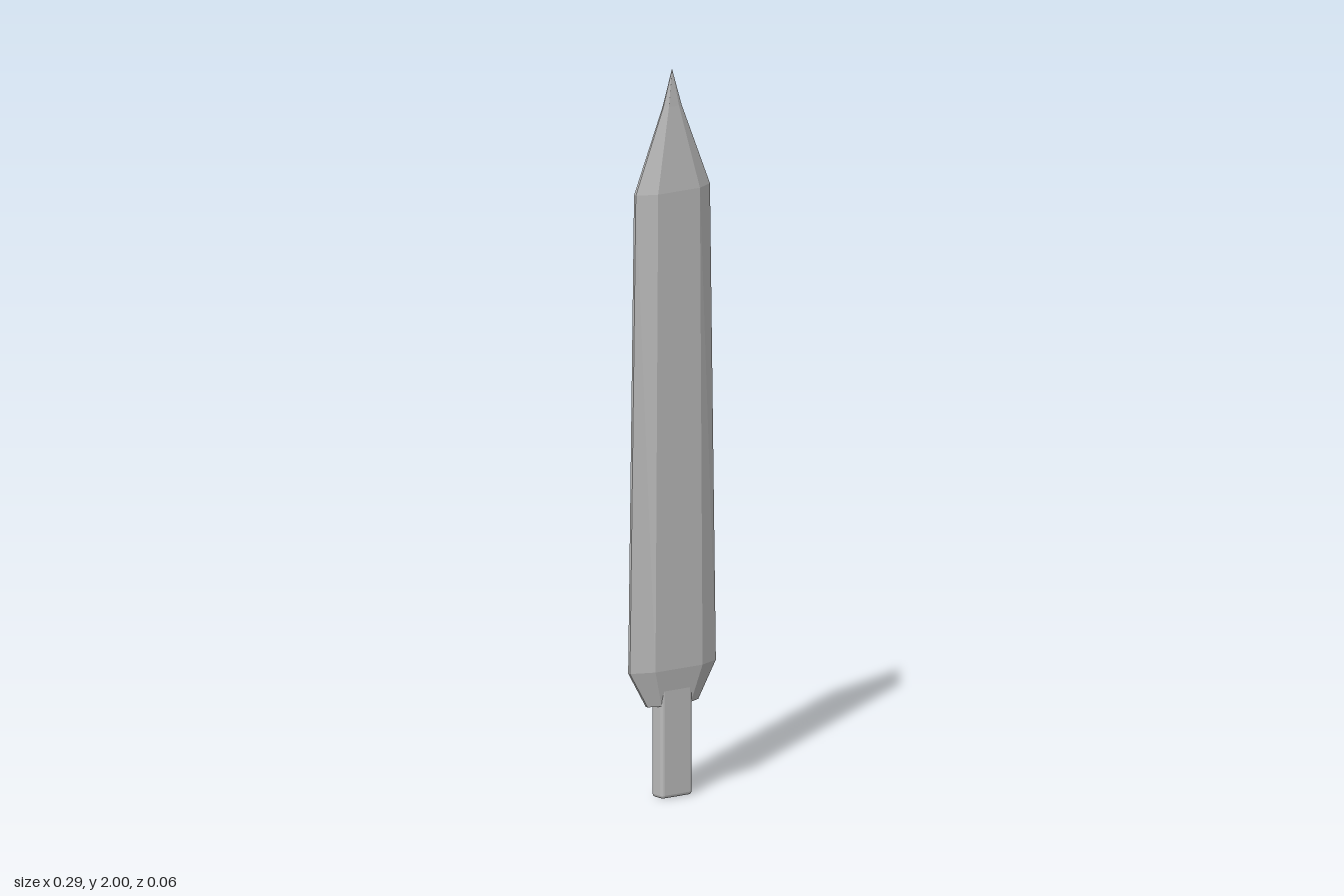
import * as THREE from 'three';
import { RoundedBoxGeometry } from 'three/addons/geometries/RoundedBoxGeometry.js';

// Bevelled blade lofted through eight-sided cross-sections
function bladeGeometry() {
  // height, half width, half width of the flat, half depth, half edge thickness
  const sections = [
    [0.255, 0.086, 0.05, 0.019, 0.004],
    [0.355, 0.146, 0.08, 0.031, 0.004],
    [1.67, 0.126, 0.071, 0.031, 0.004],
    [1.9, 0.031, 0.017, 0.0085, 0.002],
    [2.0, 0.0005, 0.0003, 0.0005, 0.0002],
  ];
  const positions = [];
  const index = [];
  for (const [y, w, f, d, e] of sections) {
    const ring = [[w, e], [f, d], [-f, d], [-w, e], [-w, -e], [-f, -d], [f, -d], [w, -e]];
    for (const [x, z] of ring) positions.push(x, y, z);
  }
  for (let i = 0; i < sections.length - 1; i++) {
    for (let j = 0; j < 8; j++) {
      const a = i * 8 + j;
      const b = i * 8 + (j + 1) % 8;
      index.push(a, a + 8, b + 8, a, b + 8, b);
    }
  }
  // Bottom and tip caps
  const top = (sections.length - 1) * 8;
  for (let j = 1; j < 7; j++) {
    index.push(0, j, j + 1, top, top + j + 1, top + j);
  }
  const geometry = new THREE.BufferGeometry();
  geometry.setAttribute('position', new THREE.Float32BufferAttribute(positions, 3));
  geometry.setIndex(index);
  const flat = geometry.toNonIndexed();
  flat.computeVertexNormals();
  return flat;
}

export function createModel() {
  const steel = new THREE.MeshStandardMaterial({ color: 0xbcbcbc, flatShading: true });
  steel.name = 'steel grey';

  const group = new THREE.Group();
  group.name = 'spearhead';

  const blade = new THREE.Mesh(bladeGeometry(), steel);
  blade.name = 'blade';
  group.add(blade);

  // Tang runs up into the base of the blade
  const tang = new THREE.Mesh(new RoundedBoxGeometry(0.104, 0.34, 0.048, 2, 0.009), steel);
  tang.name = 'tang';
  tang.position.y = 0.17;
  group.add(tang);

  return group;
}
